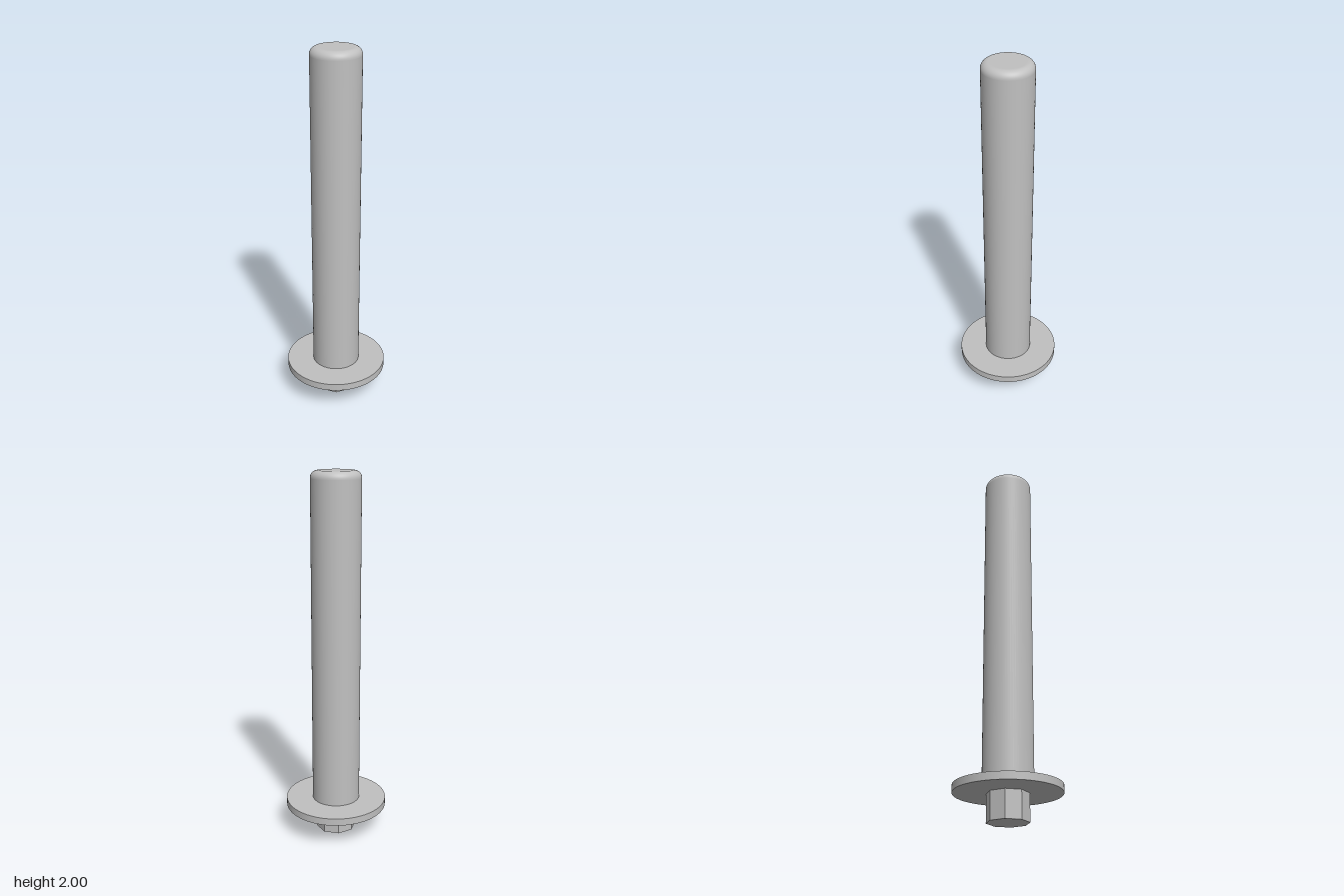
import * as THREE from 'three';

export function createModel() {
  const group = new THREE.Group();
  const steel = new THREE.MeshStandardMaterial({ color: 0xc0c0c0 });
  steel.name = 'grey metal';

  const add = (name, geometry, y) => {
    const mesh = new THREE.Mesh(geometry, steel);
    mesh.name = name;
    mesh.position.y = y;
    group.add(mesh);
    return mesh;
  };

  // Octagonal drive stub under the flange, turned slightly off axis
  const stubGeometry = new THREE.CylinderGeometry(0.11, 0.11, 0.145, 8).toNonIndexed();
  stubGeometry.computeVertexNormals();
  add('octagonalStub', stubGeometry, 0.0725).rotation.y = THREE.MathUtils.degToRad(8);

  // Thin round flange
  add('flange', new THREE.CylinderGeometry(0.28, 0.28, 0.04, 96), 0.165);

  // Long shaft with a rounded top rim
  const radius = 0.132, top = 2, fillet = 0.038, steps = 10;
  const profile = [new THREE.Vector2(radius, 0.18), new THREE.Vector2(radius, top - fillet - 0.002)];
  for (let i = 0; i <= steps; i++) {
    const a = (i / steps) * Math.PI / 2;
    profile.push(new THREE.Vector2(radius - fillet + fillet * Math.cos(a), top - fillet + fillet * Math.sin(a)));
  }
  profile.push(new THREE.Vector2(radius - fillet - 0.002, top), new THREE.Vector2(0, top));
  add('shaft', new THREE.LatheGeometry(profile, 64), 0);

  return group;
}
